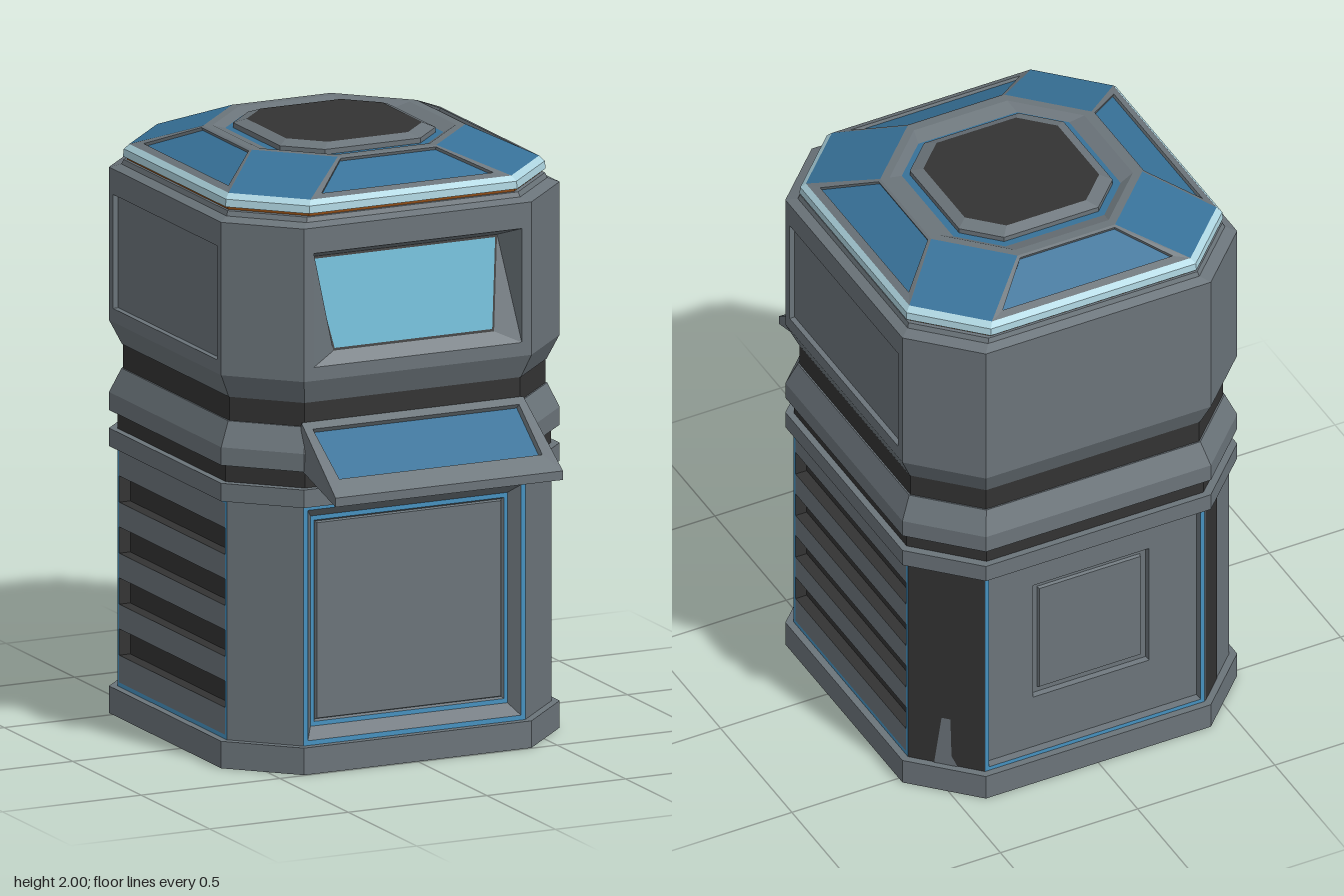
import * as THREE from 'three';

const paint = (name, color) => {
  const m = new THREE.MeshStandardMaterial({ color });
  m.name = name;
  return m;
};

// Joins closed loops of points into flat faces; loops run anticlockwise seen from outside.
function loft(parent, name, mat, loops, { end = false, start = false, skip = [] } = {}) {
  const pos = [];
  const tri = (...p) => p.forEach((v) => pos.push(...v));
  const n = loops[0].length;
  for (let k = 0; k + 1 < loops.length; k++) {
    const a = loops[k], b = loops[k + 1];
    for (let i = 0; i < n; i++) {
      if (skip.includes(i)) continue;
      const j = (i + 1) % n;
      tri(a[i], a[j], b[j]);
      tri(a[i], b[j], b[i]);
    }
  }
  const last = loops[loops.length - 1], first = loops[0];
  for (let i = 1; i < n - 1; i++) {
    if (end) tri(last[0], last[i], last[i + 1]);
    if (start) tri(first[0], first[i + 1], first[i]);
  }
  const geo = new THREE.BufferGeometry();
  geo.setAttribute('position', new THREE.Float32BufferAttribute(pos, 3));
  geo.computeVertexNormals();
  const mesh = new THREE.Mesh(geo, mat);
  mesh.name = name;
  parent.add(mesh);
  return mesh;
}

// Chamfered square ring: height, half size, half length of each straight side
const oct = ([y, r, f = r - 0.2]) =>
  [[-f, r], [f, r], [r, f], [r, -f], [f, -r], [-f, -r], [-r, -f], [-r, f]].map(([x, z]) => [x, y, z]);
const rect = (w, y0, y1, z) => [[-w, y0, z], [w, y0, z], [w, y1, z], [-w, y1, z]];
// Four-sided loop from bottom and top edges, each given as half width, y, z
const trap = ([w0, y0, z0], [w1, y1, z1]) => [[-w0, y0, z0], [w0, y0, z0], [w1, y1, z1], [-w1, y1, z1]];

export function createModel() {
  const grey = paint('body grey', 0x6b747a);
  const dark = paint('dark grey', 0x333333);
  const blue = paint('panel blue', 0x377198);
  const trim = paint('trim blue', 0x4691bf);
  const glass = paint('window glass', 0x68b2cc);
  const pale = paint('rim pale blue', 0xaed5e0);
  const copper = paint('copper', 0x8a4a14);

  const model = new THREE.Group();
  model.name = 'kiosk';
  const body = new THREE.Group();
  body.name = 'body';
  body.position.z = -0.115;
  model.add(body);

  const face = (name, degrees) => {
    const g = new THREE.Group();
    g.name = name;
    g.rotation.y = THREE.MathUtils.degToRad(degrees);
    body.add(g);
    return g;
  };
  const rings = (name, mat, profile, opts) => loft(body, name, mat, profile.map(oct), opts);
  const flats = [0, 2, 4, 6];

  // Stacked octagonal shell
  rings('base', grey, [[0.035, 0.53, 0.35], [0, 0.555, 0.375], [0, 0.61], [0.09, 0.61], [0.09, 0.56]], { start: true });
  rings('lowerCorners', grey, [[0.09, 0.585, 0.4], [0.89, 0.585, 0.4]], { skip: flats });
  rings('lowerRim', grey, [[0.89, 0.55], [0.89, 0.61], [0.95, 0.61], [0.95, 0.55]]);
  rings('lowerNeck', dark, [[0.95, 0.587, 0.395], [1.005, 0.587, 0.395]]);
  rings('collar', grey, [[1.005, 0.56], [1.01, 0.61], [1.07, 0.61], [1.15, 0.575, 0.39], [1.15, 0.54]]);
  rings('waist', dark, [[1.15, 0.57, 0.388], [1.23, 0.57, 0.388]]);
  rings('upperFlare', grey, [[1.23, 0.54], [1.23, 0.573, 0.39], [1.31, 0.61, 0.41]]);
  rings('upperCorners', grey, [[1.31, 0.61, 0.41], [1.79, 0.61, 0.41]], { skip: [0, 2, 6] });
  rings('shoulder', grey, [
    [1.79, 0.61, 0.41], [1.82, 0.61, 0.41], [1.832, 0.578, 0.385], [1.848, 0.572, 0.38], [1.852, 0.55, 0.36],
  ]);
  rings('copperBand', copper, [[1.848, 0.565, 0.37], [1.86, 0.565, 0.37]]);
  rings('roofRim', pale, [[1.86, 0.55, 0.355], [1.86, 0.577, 0.375], [1.885, 0.575, 0.373], [1.902, 0.56, 0.362]]);

  // Roof: corner facets, four framed panels, sunken ring and hatch
  rings('roofCorners', blue, [[1.902, 0.56, 0.362], [1.985, 0.385, 0.178]], { skip: flats });
  for (let i = 0; i < 4; i++) {
    const g = face('roofSide', i * 90);
    const inner = [[0.31, 1.912, 0.535], [0.172, 1.981, 0.394]];
    const sunk = inner.map(([w, y, z]) => [w, y - 0.01, z - 0.004]);
    loft(g, 'roofPanelFrame', grey, [trap([0.362, 1.902, 0.56], [0.178, 1.985, 0.385]), trap(...inner), trap(...sunk)]);
    loft(g, 'roofPanel', blue, [trap(...sunk)], { end: true });
  }
  rings('hatchSurround', grey, [[1.985, 0.385, 0.178], [1.985, 0.355, 0.17], [1.968, 0.305, 0.18]]);
  rings('hatchRing', blue, [[1.968, 0.305, 0.18], [1.968, 0.275, 0.17]]);
  rings('hatchEdge', grey, [[1.968, 0.28, 0.172], [1.985, 0.28, 0.172], [2, 0.245, 0.145]]);
  rings('hatch', dark, [[2, 0.245, 0.145]], { end: true });

  // Upper front with a window leaning back into its recess
  const front = face('front', 0);
  const opening = trap([0.29, 1.395, 0.58], [0.34, 1.695, 0.5]);
  const pane = trap([0.284, 1.403, 0.578], [0.332, 1.687, 0.502]);
  loft(front, 'windowSurround', grey, [rect(0.41, 1.31, 1.79, 0.61), rect(0.375, 1.355, 1.735, 0.61), opening]);
  loft(front, 'windowSeal', dark, [opening, pane]);
  loft(front, 'window', glass, [pane], { end: true });

  // Lower front door
  loft(front, 'doorTrim', trim, [rect(0.4, 0.09, 0.89, 0.585), rect(0.384, 0.106, 0.874, 0.585)]);
  loft(front, 'doorRecess', grey, [rect(0.384, 0.106, 0.874, 0.585), rect(0.355, 0.142, 0.843, 0.545)]);
  loft(front, 'doorInnerTrim', trim, [rect(0.355, 0.142, 0.843, 0.545), rect(0.342, 0.157, 0.828, 0.545)]);
  loft(front, 'door', grey, [
    rect(0.342, 0.157, 0.828, 0.545), rect(0.336, 0.163, 0.822, 0.537), rect(0.332, 0.167, 0.818, 0.545),
  ], { end: true });

  // Sides: upper inset panel and lower louvres
  for (const [name, angle] of [['leftSide', 90], ['rightSide', -90]]) {
    const g = face(name, angle);
    loft(g, 'upperPanel', grey, [
      rect(0.41, 1.31, 1.79, 0.61), rect(0.38, 1.355, 1.735, 0.61), rect(0.379, 1.356, 1.734, 0.592),
    ], { end: true });
    const w = 0.386, z = 0.585, deep = 0.545;
    loft(g, 'louvreTrim', trim, [rect(0.4, 0.09, 0.89, z), rect(w, 0.104, 0.876, z)]);
    let low = 0.104;
    for (let i = 0; i < 4; i++) {
      const y0 = 0.195 + i * 0.17, y1 = y0 + 0.088, yb = y1 - 0.015;
      loft(g, 'slat', grey, [rect(w, low, y0, z)], { end: true });
      loft(g, 'slotFloor', dark, [trap([w, y0, z], [w, y0, deep])], { end: true });
      loft(g, 'slotBack', dark, [rect(w, y0, yb, deep)], { end: true });
      loft(g, 'slatUnderside', grey, [trap([w, yb, deep], [w, y1, z])], { end: true });
      loft(g, 'slotEnd', dark, [[[-w, y0, z], [-w, y0, deep], [-w, yb, deep], [-w, y1, z]]], { end: true });
      loft(g, 'slotEnd', dark, [[[w, y0, z], [w, y1, z], [w, yb, deep], [w, y0, deep]]], { end: true });
      low = y1;
    }
    loft(g, 'slat', grey, [rect(w, low, 0.876, z)], { end: true });
  }

  // Back service panel with square inset
  const back = face('back', 180);
  loft(back, 'backTrim', trim, [rect(0.4, 0.09, 0.89, 0.585), rect(0.386, 0.104, 0.876, 0.585)]);
  loft(back, 'backPanel', grey, [
    rect(0.386, 0.104, 0.876, 0.585), rect(0.384, 0.106, 0.874, 0.558), rect(0.212, 0.308, 0.765, 0.558),
    rect(0.208, 0.312, 0.761, 0.54), rect(0.188, 0.332, 0.741, 0.54), rect(0.184, 0.336, 0.737, 0.55),
  ], { end: true });

  // Dark plates on the rear corners
  const leftCorner = face('rearLeftCorner', 135);
  loft(leftCorner, 'cornerPlate', dark, [rect(0.13, 0.092, 0.885, 0.699)], { end: true });
  loft(leftCorner, 'cornerNotch', grey, [[
    [-0.04, 0.092, 0.702], [0.04, 0.092, 0.702], [0.019, 0.13, 0.702],
    [0.015, 0.28, 0.702], [-0.015, 0.28, 0.702], [-0.019, 0.13, 0.702],
  ]], { end: true });
  const rightCorner = face('rearRightCorner', -135);
  loft(rightCorner, 'cornerPlate', dark, [[
    [-0.13, 0.092, 0.699], [-0.005, 0.092, 0.699], [-0.005, 0.86, 0.699], [-0.02, 0.885, 0.699], [-0.13, 0.885, 0.699],
  ]], { end: true });

  // Sloping canopy with sunken blue panel
  const canopy = new THREE.Group();
  canopy.name = 'canopy';
  body.add(canopy);
  loft(canopy, 'canopyShell', grey, [
    trap([0.41, 1.017, 0.57], [0.4, 1.164, 0.57]), trap([0.41, 0.945, 0.84], [0.41, 0.975, 0.84]),
  ], { end: true, skip: [2] });
  const edge = [[0.366, 1.02, 0.778], [0.372, 1.146, 0.596]];
  const sunk = edge.map(([w, y, z]) => [w - 0.004, y - 0.014, z - 0.009]);
  loft(canopy, 'canopyFrame', grey, [
    trap([0.41, 0.975, 0.84], [0.4, 1.164, 0.57]), trap(...edge), trap(...sunk),
  ]);
  loft(canopy, 'canopyPanel', blue, [trap(...sunk)], { end: true });

  return model;
}
